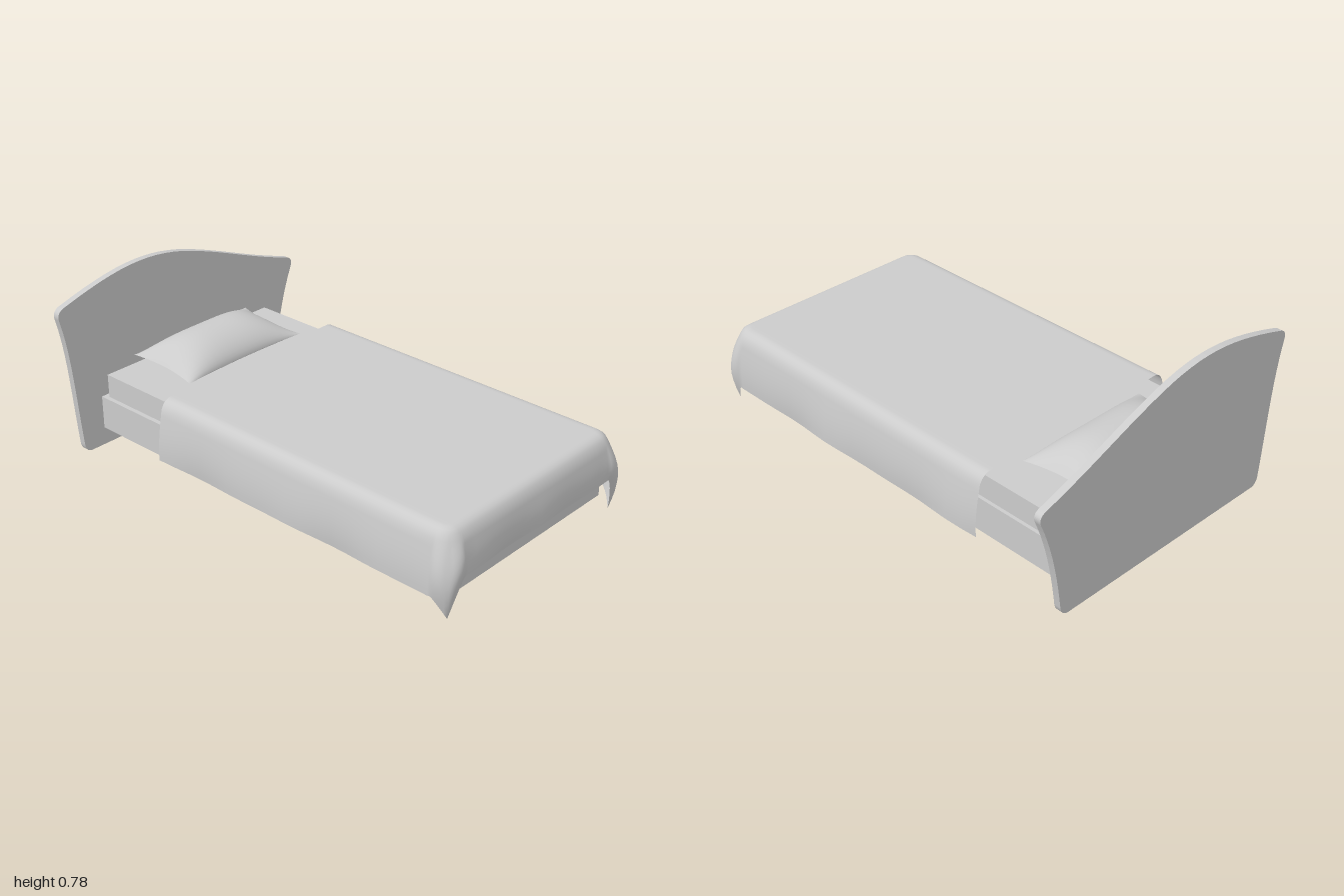
import * as THREE from 'three';

const material = new THREE.MeshStandardMaterial({ color: 0xcccccc });
const clothMaterial = new THREE.MeshStandardMaterial({ color: 0xcccccc, side: THREE.DoubleSide });

// Smooth sheet from a rule giving the point at column i, row j
function sheet(columns, rows, point) {
  const positions = [], index = [];
  for (let i = 0; i <= columns; i++) {
    for (let j = 0; j <= rows; j++) {
      positions.push(...point(i, j));
      if (i < columns && j < rows) {
        const a = i * (rows + 1) + j, b = a + rows + 1;
        index.push(a, a + 1, b, b, a + 1, b + 1);
      }
    }
  }
  const geometry = new THREE.BufferGeometry();
  geometry.setAttribute('position', new THREE.Float32BufferAttribute(positions, 3));
  geometry.setIndex(index);
  geometry.computeVertexNormals();
  return geometry;
}

function addMesh(parent, name, geometry, mat = material) {
  const mesh = new THREE.Mesh(geometry, mat);
  mesh.name = name;
  parent.add(mesh);
  return mesh;
}

// Box given by its lower and upper corners
function addBox(parent, name, [x0, y0, z0], [x1, y1, z1]) {
  const mesh = addMesh(parent, name, new THREE.BoxGeometry(x1 - x0, y1 - y0, z1 - z0));
  mesh.position.set((x0 + x1) / 2, (y0 + y1) / 2, (z0 + z1) / 2);
}

// Asymmetric board with a sweeping top and rounded corners
function headboardGeometry() {
  const s = new THREE.Shape();
  s.moveTo(-0.56, 0);
  s.lineTo(0.51, 0);
  s.quadraticCurveTo(0.545, 0, 0.555, 0.04);
  s.bezierCurveTo(0.575, 0.18, 0.605, 0.33, 0.665, 0.465);
  s.quadraticCurveTo(0.685, 0.505, 0.65, 0.52);
  s.bezierCurveTo(0.4, 0.595, 0.22, 0.69, 0, 0.75);
  s.bezierCurveTo(-0.2, 0.8, -0.36, 0.785, -0.65, 0.695);
  s.quadraticCurveTo(-0.685, 0.68, -0.675, 0.645);
  s.bezierCurveTo(-0.63, 0.48, -0.625, 0.28, -0.6, 0.04);
  s.quadraticCurveTo(-0.595, 0, -0.56, 0);
  const g = new THREE.ExtrudeGeometry(s, { depth: 0.03, bevelEnabled: false, curveSegments: 12 });
  return g.rotateY(Math.PI / 2).translate(-1, 0, 0);
}

// Stations around three sides of the bed: inner edge point, corner angle a (0 side, 1 foot), bearing
function blanketStations() {
  const half = [];
  for (let i = 0; i < 18; i++) half.push({ x: -0.55 + (1.43 * i) / 18, z: 0.44, a: 0 });
  for (let i = 0; i <= 12; i++) half.push({ x: 0.88, z: 0.44, a: i / 12 });
  for (let i = 1; i <= 8; i++) half.push({ x: 0.88, z: 0.44 * (1 - i / 8), a: 1 });
  const place = (p, side) => ({
    x: p.x, z: p.z * side, a: p.a, side,
    nx: Math.sin((p.a * Math.PI) / 2), nz: side * Math.cos((p.a * Math.PI) / 2),
  });
  return [
    ...half.map((p) => place(p, 1)),
    ...half.slice(0, -1).reverse().map((p) => place(p, -1)),
  ];
}

// Blanket: flat top, rolled shoulder, hanging skirt with drooping corner points
function blanketGeometry() {
  const stations = blanketStations();
  const shoulder = [[0, 0.37], [0.02, 0.37], [0.035, 0.369], [0.05, 0.363], [0.064, 0.352], [0.077, 0.33]];
  const skirtRows = 8;
  const rows = shoulder.length + skirtRows;
  return sheet(stations.length - 1, rows, (i, j) => {
    const p = stations[i];
    if (j === 0) return [Math.min(p.x, 0.5), 0.37, 0];
    let d, y;
    if (j <= shoulder.length) {
      [d, y] = shoulder[j - 1];
    } else {
      const t = (j - shoulder.length) / skirtRows;
      const droop = Math.max(0, 1 - Math.abs(p.a - 0.5) / 0.42);
      const ease = p.a * p.a * (3 - 2 * p.a);
      const wave = Math.sin(p.x * 9 + p.z * 14 + p.side) + 0.6 * Math.sin(p.x * 17 + p.z * 9);
      const hem = 0.1 + 0.085 * ease - 0.125 * droop ** 1.3 + 0.003 * wave;
      y = 0.33 + (hem - 0.33) * t;
      d = 0.077 + 0.022 * Math.sin((t * Math.PI) / 1.6)
        + 0.03 * Math.sin(p.a * Math.PI) * Math.sin(t * Math.PI) + 0.006 * wave * t * t;
    }
    return [p.x + p.nx * d, y, p.z + p.nz * d];
  });
}

// One face of the pillow: pinched edges, pointed corners, domed middle
function pillowFace(height, flip) {
  const n = 20;
  return sheet(n, n, (i, j) => {
    const u = Math.sin((((flip ? n - i : i) / n) - 0.5) * Math.PI);
    const v = Math.sin((j / n - 0.5) * Math.PI);
    const puff = Math.max(0, 1 - u * u) ** 0.6 * (1 - Math.abs(v) ** 3.5);
    return [
      -0.757 + u * (0.173 - 0.016 * (1 - v * v)),
      0.374 - 0.01 * u + height * puff,
      v * (0.33 - 0.022 * (1 - u * u)),
    ];
  });
}

export function createModel() {
  const bed = new THREE.Group();
  bed.name = 'bed';

  addMesh(bed, 'headboard', headboardGeometry());
  addBox(bed, 'bedBase', [-0.97, 0.08, -0.48], [0.92, 0.23, 0.49]);
  addBox(bed, 'mattress', [-0.945, 0.23, -0.465], [0.91, 0.335, 0.47]);
  addMesh(bed, 'blanket', blanketGeometry(), clothMaterial);

  const pillow = new THREE.Group();
  pillow.name = 'pillow';
  addMesh(pillow, 'pillowTop', pillowFace(0.09, false));
  addMesh(pillow, 'pillowUnderside', pillowFace(-0.026, true));
  bed.add(pillow);

  return bed;
}
